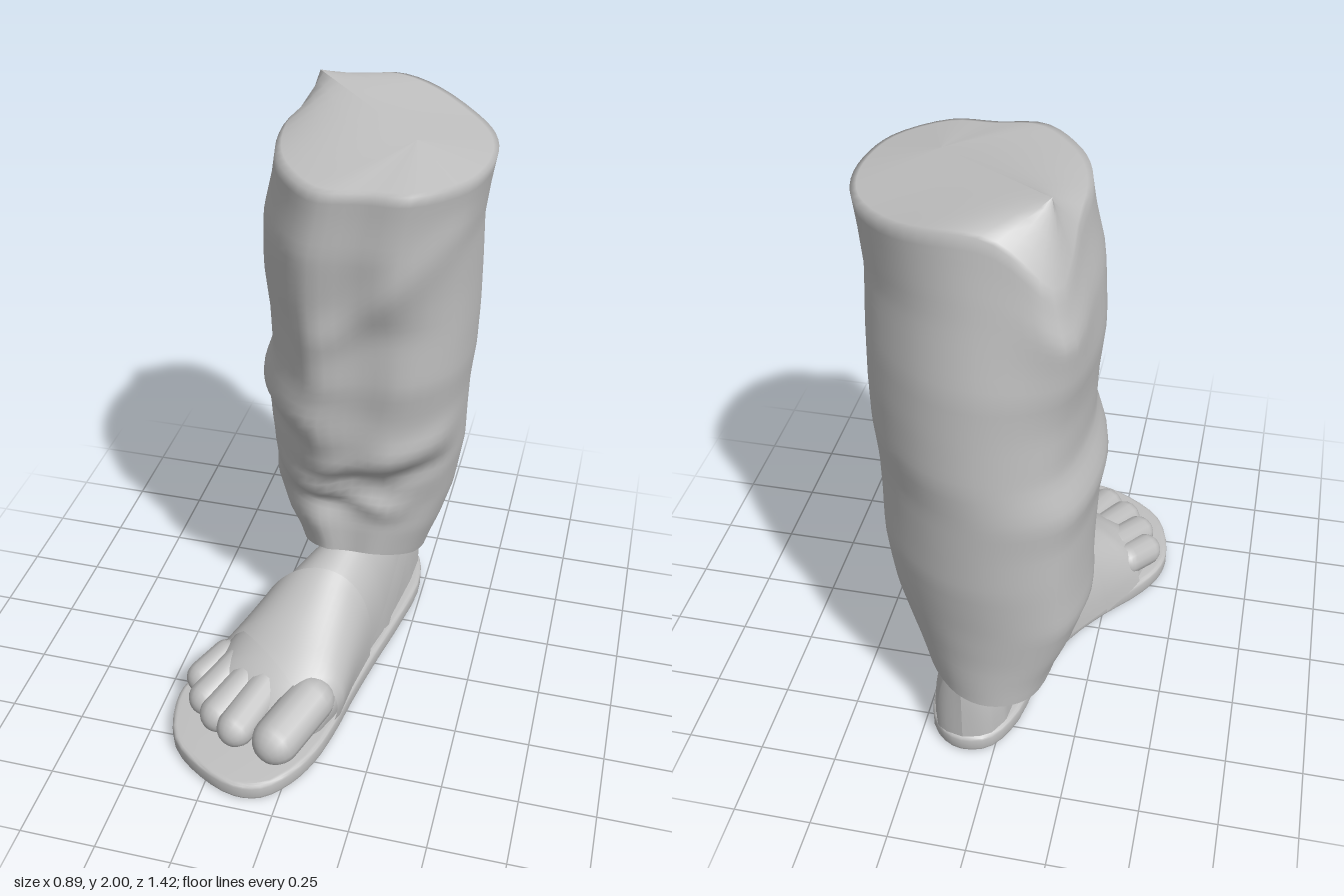
import * as THREE from 'three';
import { toCreasedNormals } from 'three/addons/utils/BufferGeometryUtils.js';

const { lerp, smoothstep, clamp } = THREE.MathUtils;

// Linear lookup in rows of [key, a, b, c...]
function sample(rows, key) {
  let i = 0;
  while (i < rows.length - 2 && key > rows[i + 1][0]) i++;
  const t = clamp((key - rows[i][0]) / (rows[i + 1][0] - rows[i][0]), 0, 1);
  return rows[i].map((v, k) => lerp(v, rows[i + 1][k], t));
}

// Smooth surface from a point rule; u may wrap round
function grid(fn, nu, nv, wrap = false) {
  const pos = [], index = [], cols = wrap ? nu : nu + 1;
  for (let j = 0; j <= nv; j++)
    for (let i = 0; i < cols; i++) pos.push(...fn(i / nu, j / nv));
  for (let j = 0; j < nv; j++)
    for (let i = 0; i < nu; i++) {
      const a = j * cols + i, b = j * cols + (i + 1) % cols;
      index.push(a, b, b + cols, a, b + cols, a + cols);
    }
  const g = new THREE.BufferGeometry();
  g.setAttribute('position', new THREE.Float32BufferAttribute(pos, 3));
  g.setIndex(index);
  g.computeVertexNormals();
  return g;
}

const closedCurve = pts => new THREE.CatmullRomCurve3(
  pts.map(([x, z]) => new THREE.Vector3(x, 0, z)), true, 'centripetal');

// Trouser cross-section and its extents by height: y, xMin, xMax, zMin, zMax
const legOutline = closedCurve([
  [-0.25, -0.12], [-0.18, 0.04], [-0.05, 0.17], [0.1, 0.15], [0.24, 0.14], [0.39, 0],
  [0.44, -0.15], [0.44, -0.33], [0.38, -0.49], [0.21, -0.66], [0.05, -0.715],
  [-0.1, -0.69], [-0.21, -0.6], [-0.27, -0.35]]);
const legRows = [
  [0.29, -0.17, 0.26, -0.67, -0.06], [0.36, -0.19, 0.28, -0.67, -0.06],
  [0.45, -0.23, 0.31, -0.67, -0.06], [0.6, -0.275, 0.35, -0.68, -0.07],
  [0.7, -0.27, 0.365, -0.69, -0.05], [0.8, -0.27, 0.38, -0.7, -0.01],
  [0.95, -0.275, 0.385, -0.705, 0.05], [1.07, -0.295, 0.39, -0.71, 0.08],
  [1.2, -0.25, 0.405, -0.71, 0.1], [1.35, -0.255, 0.41, -0.7, 0.105],
  [1.5, -0.27, 0.41, -0.69, 0.12], [1.68, -0.255, 0.41, -0.65, 0.145],
  [1.8, -0.225, 0.425, -0.63, 0.145], [1.89, -0.21, 0.44, -0.62, 0.15]];

// Front creases: x1, y1, x2, y2, width, depth
const folds = [
  [0.02, 0.84, 0.38, 0.96, 0.06, 0.03], [-0.24, 0.78, 0.2, 0.63, 0.05, 0.03],
  [-0.2, 0.6, 0.15, 0.72, 0.05, -0.03], [0.05, 0.78, 0.36, 0.82, 0.05, -0.03],
  [-0.27, 1.0, -0.12, 0.95, 0.06, -0.03],
  [0.03, 1.4, 0.38, 1.72, 0.06, 0.015], [0.14, 1.1, 0.2, 1.38, 0.1, -0.03],
  [-0.02, 1.0, -0.04, 1.35, 0.06, 0.012], [-0.18, 1.5, -0.05, 1.15, 0.07, -0.015]];
function foldOffset(x, y) {
  return folds.reduce((sum, [x1, y1, x2, y2, w, d]) => {
    const dx = x2 - x1, dy = y2 - y1;
    const t = clamp(((x - x1) * dx + (y - y1) * dy) / (dx * dx + dy * dy), 0, 1);
    const r = Math.hypot(x - x1 - dx * t, y - y1 - dy * t) / w;
    return sum + d * Math.exp(-r * r);
  }, 0);
}

const bump = (x, z, cx, cz, r) => Math.exp(-((x - cx) ** 2 + (z - cz) ** 2) / (r * r));

function legPoint(u, y0) {
  const p = legOutline.getPoint(u);
  const [, xa, xb, za, zb] = sample(legRows, y0);
  let x = lerp(xa, xb, (p.x + 0.27) / 0.71);
  let z = lerp(za, zb, (p.z + 0.715) / 0.88);
  // the hem rises over the instep; the rim is high behind and drops at one back corner
  const hem = 0.16 * clamp((z + 0.42) / 0.36, 0, 1) ** 1.4 * clamp(1 - (y0 - 0.29) / 0.4, 0, 1);
  const corner = bump(x, z, -0.17, -0.53, 0.12) * smoothstep(y0, 1.35, 1.75);
  const rim = 0.07 * bump(x, z, 0.02, -0.6, 0.28) - 0.15 * corner;
  const y = y0 + hem + rim * clamp((y0 - 1.5) / 0.39, 0, 1);
  x -= 0.04 * corner;
  z += foldOffset(x, y) * smoothstep(z, -0.3, -0.05) - 0.07 * corner;
  return [x, y, z];
}

// Leg walls carried over into a draped top that rises to a slanting ridge
const ridge = new THREE.Line3(
  new THREE.Vector3(-0.15, 2, -0.47), new THREE.Vector3(0.22, 1.94, -0.15));
function trouserLeg() {
  const rows = 48, cap = [0.93, 0.7, 0.45, 0.2, 0];
  return grid((u, v) => {
    const j = Math.round(v * (rows + cap.length));
    if (j <= rows) return legPoint(u, lerp(0.29, 1.89, j / rows));
    const rim = new THREE.Vector3(...legPoint(u, 1.89));
    const top = ridge.closestPointToPoint(rim, true, new THREE.Vector3());
    return top.lerp(rim, cap[j - rows - 1]).toArray();
  }, 52, rows + cap.length, true);
}

// Foot sections along z: z, centre x, half width, top y, lean of the crest
const footRows = [
  [-0.625, 0.1, 0, 0.3, 0], [-0.615, 0.1, 0.05, 0.33, 0],
  [-0.59, 0.1, 0.09, 0.36, 0], [-0.53, 0.095, 0.12, 0.4, 0],
  [-0.4, 0.085, 0.125, 0.44, 0], [-0.25, 0.05, 0.14, 0.46, 0.02],
  [-0.1, 0, 0.17, 0.46, 0.02], [0.03, -0.06, 0.2, 0.42, 0.04],
  [0.2, -0.12, 0.235, 0.33, 0.07], [0.33, -0.14, 0.245, 0.26, 0.08],
  [0.42, -0.13, 0.2, 0.2, 0.07], [0.47, -0.12, 0.15, 0.14, 0.04]];
function footPoint(z, a, off = 0) {
  const [, cx, hw, top, lean] = sample(footRows, z);
  const s = Math.max(0, Math.sin(a));
  return [cx + (hw + off) * Math.cos(a) + lean * s, 0.06 + (top - 0.06 + off) * s ** 0.85, z];
}

// Front edge of the instep strap, from the inner to the outer side
const strapFront = [[0, 0.36], [0.25, 0.36], [0.45, 0.4], [0.6, 0.31], [0.75, 0.22], [1, 0.2]];

// Sandal sole outline, x and z
const soleOutline = [
  [-0.14, 0.71], [-0.05, 0.695], [0.03, 0.61], [0.08, 0.5], [0.11, 0.37], [0.135, 0.2],
  [0.17, 0], [0.21, -0.2], [0.24, -0.42], [0.205, -0.57], [0.12, -0.63], [0.02, -0.61],
  [-0.05, -0.5], [-0.09, -0.3], [-0.15, -0.1], [-0.25, 0.05], [-0.37, 0.19],
  [-0.43, 0.3], [-0.44, 0.4], [-0.39, 0.56], [-0.27, 0.66]];

// Toes: base x, y, z, then tip centre x, y, z, then radius
const toes = [
  [0.03, 0.165, 0.38, -0.04, 0.13, 0.55, 0.08],
  [-0.12, 0.17, 0.34, -0.185, 0.125, 0.525, 0.064],
  [-0.18, 0.17, 0.3, -0.262, 0.12, 0.475, 0.062],
  [-0.25, 0.16, 0.27, -0.325, 0.115, 0.41, 0.06],
  [-0.31, 0.14, 0.23, -0.365, 0.115, 0.32, 0.058]];

export function createModel() {
  const model = new THREE.Group();
  const grey = new THREE.MeshStandardMaterial({ color: 0xc0c0c0, side: THREE.DoubleSide });
  grey.name = 'light grey';
  const add = (name, geometry, parent = model) => {
    const mesh = new THREE.Mesh(geometry, grey);
    mesh.name = name;
    parent.add(mesh);
    return mesh;
  };

  add('trouserLeg', trouserLeg());
  add('foot', grid((u, v) => footPoint(lerp(-0.625, 0.47, v ** 1.3), u * Math.PI), 28, 56));

  // Sole with a rounded edge
  const bevel = 0.015;
  const shape = new THREE.Shape(closedCurve(soleOutline).getPoints(64)
    .slice(0, -1).map(p => new THREE.Vector2(p.x, -p.z)));
  const sole = new THREE.ExtrudeGeometry(shape, {
    depth: 0.035, bevelThickness: bevel, bevelSize: bevel, bevelOffset: -bevel, bevelSegments: 3 });
  sole.rotateX(-Math.PI / 2).translate(0, bevel + 0.003, 0);
  add('sole', toCreasedNormals(sole, 0.7));

  // Broad strap over the instep, open at the outer toes
  add('instepStrap', grid((u, v) =>
    footPoint(lerp(0.03, sample(strapFront, u)[1], v), u * Math.PI, 0.012), 28, 10));

  // Slanting straps on both sides of the heel
  for (const side of ['left', 'right'])
    add(side + 'HeelStrap', grid((u, v) => {
      const a = lerp(0.03, 0.75, u) + 0.1 * v;
      const z = lerp(-0.13, -0.52, u) + lerp(0, 0.14, v) * (1 - 0.4 * u);
      return footPoint(z, side === 'left' ? a : Math.PI - a, 0.012);
    }, 16, 4));

  // Toes
  const toeGroup = new THREE.Group();
  toeGroup.name = 'toes';
  model.add(toeGroup);
  toes.forEach(([x1, y1, z1, x2, y2, z2, r], i) => {
    const a = new THREE.Vector3(x1, y1, z1), b = new THREE.Vector3(x2, y2, z2);
    const dir = b.clone().sub(a);
    const toe = add(i ? 'smallToe' + i : 'bigToe',
      new THREE.CapsuleGeometry(r, dir.length(), 6, 14), toeGroup);
    toe.position.copy(a).lerp(b, 0.5);
    toe.quaternion.setFromUnitVectors(new THREE.Vector3(0, 1, 0), dir.normalize());
  });
  return model;
}
